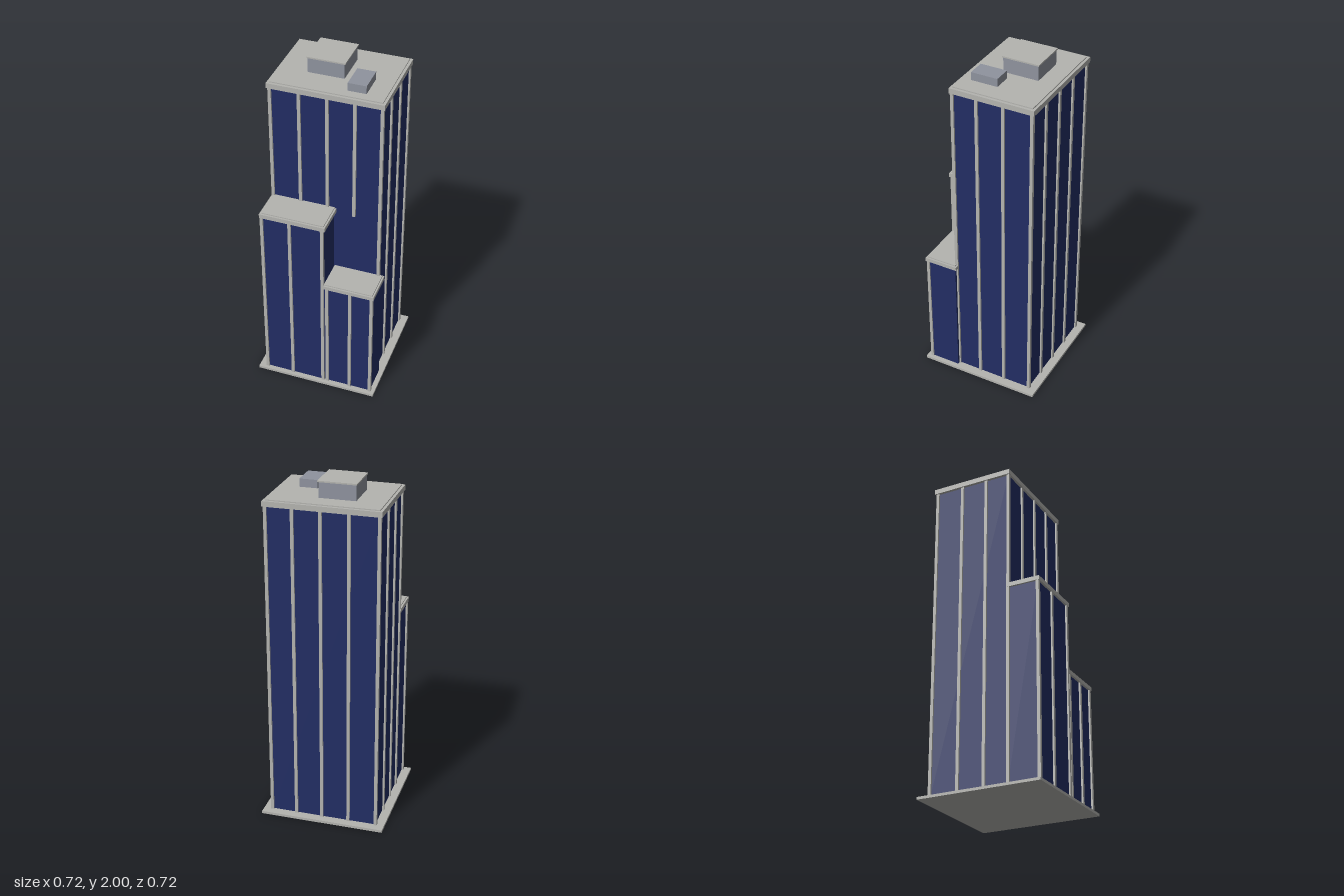
import * as THREE from 'three';

export function createModel() {
  const model = new THREE.Group();
  model.name = 'officeTower';
  const mat = (name, color) => {
    const m = new THREE.MeshStandardMaterial({ color });
    m.name = name;
    return m;
  };
  const glass = mat('navyGlass', 0x222d64);
  const concrete = mat('paleConcrete', 0xb4b4b0);
  const metal = mat('rooftopGrey', 0x8f939e);

  // Box given by its minimum and maximum on each axis
  const block = (parent, name, material, [x0, x1], [y0, y1], [z0, z1]) => {
    const mesh = new THREE.Mesh(new THREE.BoxGeometry(x1 - x0, y1 - y0, z1 - z0), material);
    mesh.position.set((x0 + x1) / 2, (y0 + y1) / 2, (z0 + z1) / 2);
    mesh.name = name;
    parent.add(mesh);
  };
  const group = (name) => {
    const g = new THREE.Group();
    g.name = name;
    model.add(g);
    return g;
  };
  const BASE = 0.015;
  const R = 0.009; // half width of a mullion
  const mullion = (parent, x, z, top, bottom = BASE) =>
    block(parent, 'mullion', concrete, [x - R, x + R], [bottom, top], [z - R, z + R]);

  // Roof edge band with a slightly raised inner slab
  const roof = (parent, x, z, y0, y1, slabX, slabZ, slabTop) => {
    block(parent, 'roofBand', concrete, x, [y0, y1], z);
    block(parent, 'roofSlab', concrete, slabX, [y1 - 0.005, slabTop], slabZ);
  };

  // Ground plinth
  block(model, 'plinth', concrete, [-0.361, 0.361], [0, BASE], [-0.361, 0.361]);

  // Main tower
  const tower = group('mainTower');
  block(tower, 'glassBody', glass, [-0.31, 0.31], [BASE, 1.872], [-0.31, 0.153]);
  roof(tower, [-0.327, 0.325], [-0.327, 0.167], 1.87, 1.9, [-0.312, 0.31], [-0.312, 0.153], 1.906);
  for (const x of [-0.311, -0.148, 0.009, 0.163, 0.311]) {
    mullion(tower, x, -0.311, 1.871);
    mullion(tower, x, 0.154, 1.871, x === 0.163 ? 1.145 : BASE);
  }
  for (const z of [-0.145, 0.011]) {
    for (const x of [-0.311, 0.311]) mullion(tower, x, z, 1.871);
  }

  // Tall front wing
  const tall = group('tallWing');
  block(tall, 'glassBody', glass, [-0.31, 0.046], [BASE, 1.146], [0.15, 0.333]);
  roof(tall, [-0.322, 0.06], [0.15, 0.345], 1.145, 1.17, [-0.312, 0.05], [0.15, 0.335], 1.176);
  for (const x of [-0.311, -0.148, 0.041]) mullion(tall, x, 0.334, 1.146);

  // Low front wing
  const low = group('lowWing');
  block(low, 'glassBody', glass, [0.046, 0.333], [BASE, 0.736], [0.155, 0.331]);
  roof(low, [0.05, 0.345], [0.145, 0.3445], 0.735, 0.757, [0.05, 0.335], [0.154, 0.335], 0.763);
  for (const x of [0.068, 0.205, 0.331]) mullion(low, x, 0.332, 0.736);

  // Rooftop plant room and small service unit
  const plant = group('rooftopPlant');
  block(plant, 'plantRoom', metal, [-0.156, 0.049], [1.9, 1.992], [-0.208, -0.002]);
  block(plant, 'plantRoomLid', concrete, [-0.161, 0.055], [1.992, 2], [-0.213, 0.003]);
  block(plant, 'serviceUnit', metal, [0.102, 0.205], [1.9, 1.952], [-0.053, 0.102]);

  return model;
}
